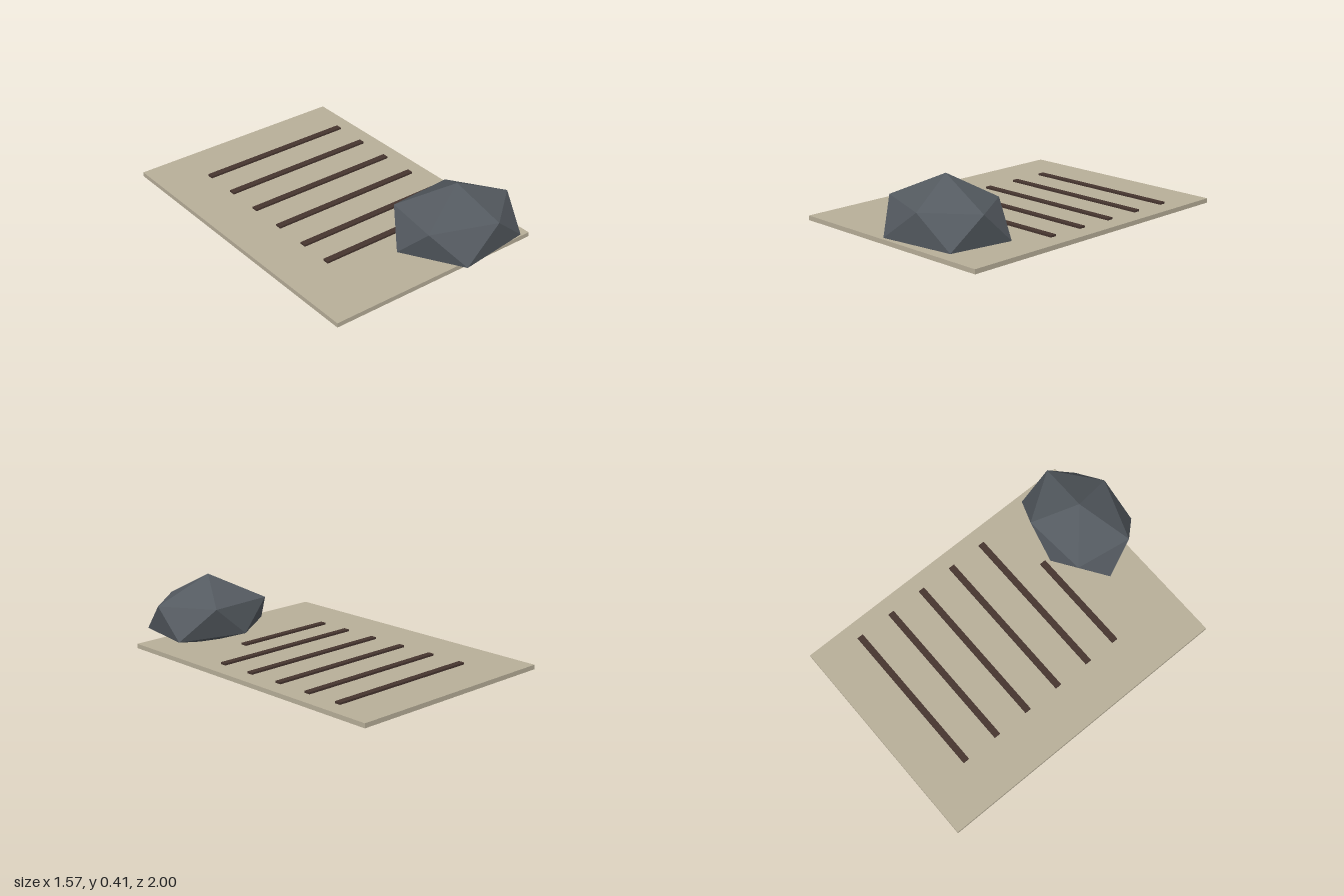
import * as THREE from 'three';

const paperMat = new THREE.MeshStandardMaterial({ color: 0xb8af99 });
paperMat.name = 'parchment';
const inkMat = new THREE.MeshStandardMaterial({ color: 0x46352f });
inkMat.name = 'dark brown ink';
const stoneMat = new THREE.MeshStandardMaterial({ color: 0x545a60, flatShading: true });
stoneMat.name = 'slate grey';

function box(name, material, size, position) {
  const mesh = new THREE.Mesh(new THREE.BoxGeometry(...size), material);
  mesh.name = name;
  mesh.position.set(...position);
  return mesh;
}

// Irregular stone: two staggered rings of five corners between two tips
function stoneGeometry() {
  const upper = [[0.705, 0.69], [0.475, 0.435], [0.1, 0.517], [0.1, 0.855], [0.48, 0.935]]
    .map(([x, z]) => [x, 0.262, z]);
  const lower = [[0.68, 0.505], [0.278, 0.45], [0.017, 0.69], [0.257, 0.99], [0.677, 0.87]]
    .map(([x, z]) => [x, 0.09, z]);
  const top = [0.375, 0.405, 0.69];
  const bottom = [0.375, 0, 0.69];
  const corners = [];
  for (let i = 0; i < 5; i++) {
    const j = (i + 1) % 5;
    corners.push(top, upper[i], upper[j]);
    corners.push(upper[i], lower[i], upper[j]);
    corners.push(lower[i], lower[j], upper[j]);
    corners.push(bottom, lower[j], lower[i]);
  }
  const geometry = new THREE.BufferGeometry();
  geometry.setAttribute('position', new THREE.Float32BufferAttribute(corners.flat(), 3));
  geometry.computeVertexNormals();
  return geometry;
}

export function createModel() {
  const model = new THREE.Group();
  model.name = 'noteUnderStone';

  // Sheet with its written lines, turned slightly
  const note = new THREE.Group();
  note.name = 'note';
  note.rotation.y = 0.15;
  note.add(box('sheet', paperMat, [1.315, 0.026, 1.82], [0, 0.016, 0]));

  // Five full lines and a shorter last one, sharing a left margin
  const margin = -0.383;
  for (let i = 0; i < 6; i++) {
    const last = i === 5;
    const length = last ? 0.627 : 0.945;
    const z = last ? 0.461 : -0.625 + i * 0.222;
    note.add(box('writtenLine' + (i + 1), inkMat, [length, 0.011, 0.037], [margin + length / 2, 0.0365, z]));
  }
  model.add(note);

  // Paperweight stone on the front corner
  const stone = new THREE.Mesh(stoneGeometry(), stoneMat);
  stone.name = 'stone';
  model.add(stone);

  return model;
}
